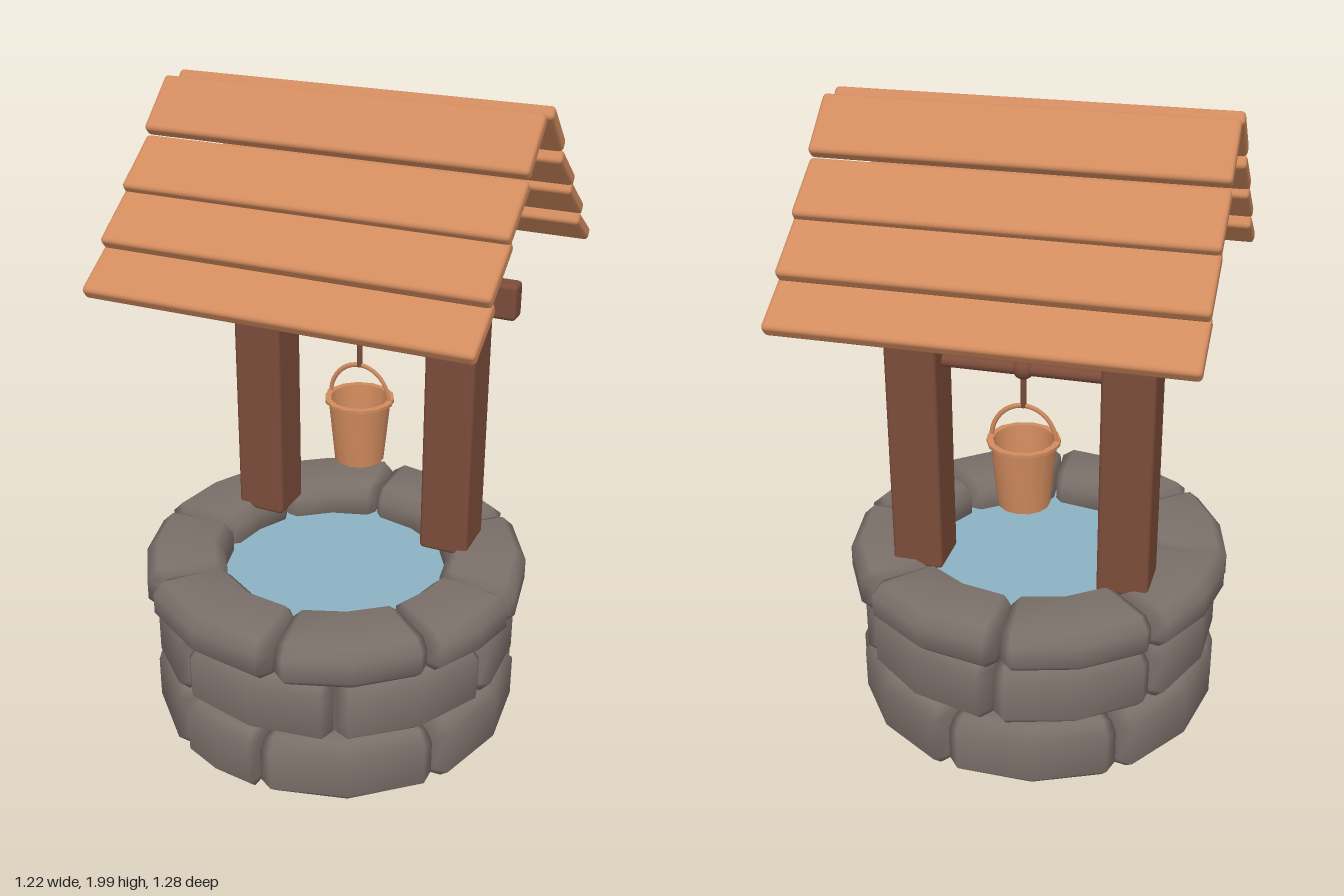
import * as THREE from 'three';
import { RoundedBoxGeometry } from 'three/addons/geometries/RoundedBoxGeometry.js';
import { toCreasedNormals } from 'three/addons/utils/BufferGeometryUtils.js';

const material = (name, color) => {
  const m = new THREE.MeshStandardMaterial({ color });
  m.name = name;
  return m;
};

// Small seeded generator for the irregular masonry
function seeded(seed) {
  return () => {
    seed = (seed * 16807) % 2147483647;
    return seed / 2147483647;
  };
}

// Curved block: a chamfered cross-section swept between two angles (degrees)
function stoneGeometry(a0, a1, rIn, rOut, y0, y1, rand) {
  const c = 0.035;
  const section = [
    [rIn + c, y0], [rOut - c, y0], [rOut, y0 + c], [rOut, y1 - c],
    [rOut - c, y1], [rIn + c, y1], [rIn, y1 - c], [rIn, y0 + c],
  ];
  const n = section.length;
  const rMid = (rIn + rOut) / 2, yMid = (y0 + y1) / 2;
  const stations = [[0, 0.78], [0.07, 1], [0.5, 1], [0.93, 1], [1, 0.78]];
  const pos = [], index = [];
  stations.forEach(([t, s]) => {
    const a = THREE.MathUtils.degToRad(a0 + 0.6 + (a1 - a0 - 1.2) * t);
    const inset = 1 - 0.03 * rand();
    for (const [r, y] of section) {
      const rr = rMid + (r - rMid) * s * inset;
      const yy = yMid + (y - yMid) * s * (1 - 0.06 * rand());
      pos.push(rr * Math.sin(a), yy, rr * Math.cos(a));
    }
  });
  const last = (stations.length - 1) * n;
  for (let i = 0; i < last; i += n) {
    for (let j = 0; j < n; j++) {
      const k = (j + 1) % n;
      index.push(i + j, i + n + j, i + n + k, i + j, i + n + k, i + k);
    }
  }
  for (let j = 1; j < n - 1; j++) {
    index.push(0, j, j + 1, last, last + j + 1, last + j);
  }
  const g = new THREE.BufferGeometry();
  g.setAttribute('position', new THREE.Float32BufferAttribute(pos, 3));
  g.setIndex(index);
  g.computeVertexNormals();
  return g;
}

export function createModel() {
  const model = new THREE.Group();
  model.name = 'well';
  const stone = material('stone', 0x7b706a);
  const mortar = material('mortar', 0x6a625c);
  const water = material('water', 0x8db2c4);
  const darkWood = material('dark wood', 0x7c4c3a);
  const lightWood = material('light wood', 0xd18b5e);

  const add = (parent, name, geometry, mat, x = 0, y = 0, z = 0) => {
    const mesh = new THREE.Mesh(geometry, mat);
    mesh.name = name;
    mesh.position.set(x, y, z);
    parent.add(mesh);
    return mesh;
  };
  const group = (name, x, y, z) => {
    const g = new THREE.Group();
    g.name = name;
    g.position.set(x, y, z);
    model.add(g);
    return g;
  };

  // Stone ring: seam angles run from the front towards the left side
  const wall = group('stoneWall', 0, 0, 0.04);
  const rand = seeded(77);
  const rows = [
    { y0: 0, y1: 0.215, rIn: 0.4, rOut: 0.585, seams: [0, 56, 111, 165, 220, 275, 330] },
    { y0: 0.22, y1: 0.43, rIn: 0.4, rOut: 0.58, seams: [24, 76, 128, 180, 232, 284, 331] },
    { y0: 0.435, y1: 0.575, rIn: 0.355, rOut: 0.61, seams: [6, 52, 85, 134, 183, 230, 272, 314] },
  ];
  rows.forEach(({ y0, y1, rIn, rOut, seams }) => {
    seams.forEach((a, i) => {
      const end = i + 1 < seams.length ? seams[i + 1] : seams[0] + 360;
      add(wall, 'stone', stoneGeometry(a, end, rIn, rOut, y0, y1, rand), stone);
    });
  });
  add(wall, 'mortarCore', new THREE.CylinderGeometry(0.49, 0.49, 0.43, 32), mortar, 0, 0.24, 0);
  const pool = add(wall, 'water', new THREE.CircleGeometry(0.44, 32), water, 0, 0.475, 0);
  pool.rotation.x = -Math.PI / 2;

  // Posts and crossbeam
  const frame = group('frame', -0.005, 0, -0.155);
  for (const side of [-1, 1]) {
    add(frame, 'post', new RoundedBoxGeometry(0.16, 0.85, 0.158, 2, 0.014), darkWood, side * 0.325, 0.975, 0);
  }
  add(frame, 'crossbeam', new RoundedBoxGeometry(1.01, 0.112, 0.064, 2, 0.014), darkWood, 0, 1.41, 0);

  // Axle with knot and rope
  const axle = add(frame, 'axle', new THREE.CylinderGeometry(0.02, 0.02, 0.52, 12), darkWood, 0, 1.235, 0);
  axle.rotation.z = Math.PI / 2;
  add(frame, 'knot', new THREE.SphereGeometry(0.033, 12, 8), darkWood, 0, 1.235, 0);
  add(frame, 'rope', new THREE.CylinderGeometry(0.009, 0.009, 0.12, 8), darkWood, 0, 1.17, 0);

  // Hollow bucket with rim and bail handle
  const bucket = group('bucket', -0.005, 0, -0.155);
  const profile = [
    [0, 0.79], [0.08, 0.79], [0.1, 0.995], [0.111, 0.995],
    [0.111, 1.005], [0.092, 1.005], [0.073, 0.81], [0, 0.81],
  ].map(([x, y]) => new THREE.Vector2(x, y));
  add(bucket, 'bucketBody', toCreasedNormals(new THREE.LatheGeometry(profile, 14), 0.7), lightWood);
  const handle = add(bucket, 'bucketHandle', new THREE.TorusGeometry(0.1, 0.007, 6, 20, Math.PI), lightWood, 0, 1.0, 0);
  handle.scale.y = 1.15;
  for (const side of [-1, 1]) {
    add(bucket, 'handleLug', new THREE.SphereGeometry(0.013, 8, 6), lightWood, side * 0.1, 1.0, 0);
  }

  // Overlapping roof planks: [distance from ridge, height, length, pitch]
  const roof = group('roof', -0.004, 0, -0.08);
  const planks = [
    [0.1, 1.917, 0.19, 43], [0.23, 1.773, 0.195, 36],
    [0.358, 1.65, 0.2, 35], [0.474, 1.529, 0.18, 33],
  ];
  for (const side of [-1, 1]) {
    for (const [z, y, length, pitch] of planks) {
      const plank = add(roof, 'roofPlank', new RoundedBoxGeometry(1.162, 0.042, length, 2, 0.013), lightWood, 0, y, side * z);
      plank.rotation.x = side * THREE.MathUtils.degToRad(pitch);
    }
  }
  return model;
}
